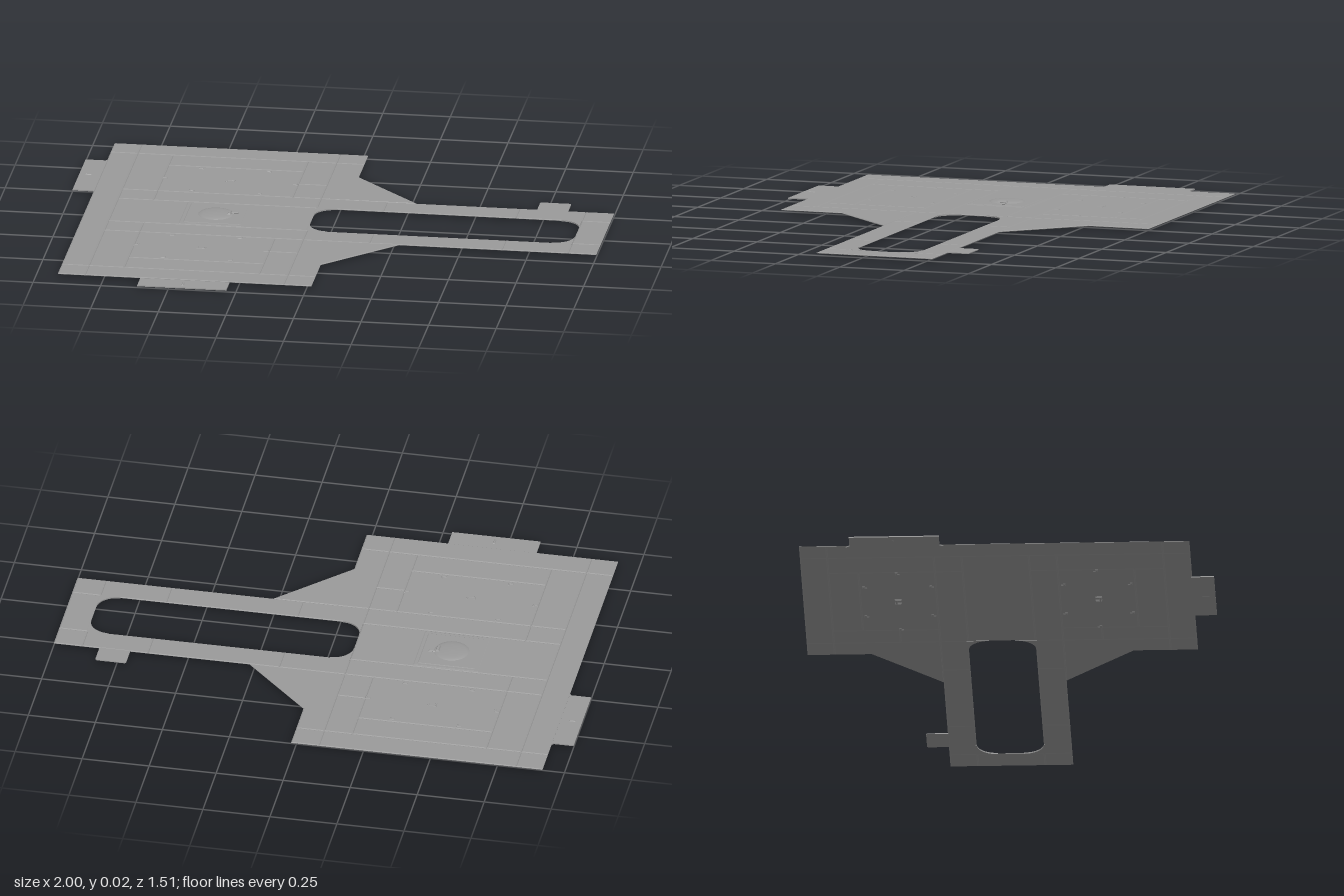
import * as THREE from 'three';

const TOP = 0.0115, BOTTOM = 0.0065, MID_Z = -0.045, BEVEL = 0.004;
const material = new THREE.MeshStandardMaterial({ color: 0x9a9a9a, side: THREE.DoubleSide });

// Mirrors a z coordinate across the lengthwise axis of the plate
const flip = (z) => 2 * MID_Z - z;

const toShape = (points) => new THREE.Shape(points.map(([x, z]) => new THREE.Vector2(x, z)));

// Flat slab: outline in x/z, between heights y0 and y1, with optional sloped edges
function slab(parent, name, shape, y0, y1, bevel = 0) {
  const slope = bevel ? (y1 - y0) * 0.48 : 0;
  const geometry = new THREE.ExtrudeGeometry(shape, {
    depth: y1 - y0 - 2 * slope, curveSegments: 8, bevelEnabled: bevel > 0,
    bevelSegments: 1, bevelThickness: slope, bevelSize: bevel, bevelOffset: -bevel,
  });
  geometry.rotateX(Math.PI / 2);
  const mesh = new THREE.Mesh(geometry, material);
  mesh.position.y = y1 - slope;
  mesh.name = name;
  parent.add(mesh);
  return mesh;
}

// Rectangular slab given by its centre and size
function plate(parent, name, x, z, w, d, y0, y1, bevel = 0) {
  const a = w / 2, b = d / 2;
  return slab(parent, name, toShape([[x - a, z - b], [x + a, z - b], [x + a, z + b], [x - a, z + b]]), y0, y1, bevel);
}

// Rectangular panel whose sloped edges form a groove with its neighbours
function panel(parent, name, x0, x1, z0, z1) {
  plate(parent, name, (x0 + x1) / 2, (z0 + z1) / 2, x1 - x0, Math.abs(z1 - z0), BOTTOM, TOP, BEVEL);
}

function roundedHole(x0, x1, z0, z1, r) {
  const p = new THREE.Path();
  p.moveTo(x0 + r, z0);
  p.lineTo(x1 - r, z0);
  p.absarc(x1 - r, z0 + r, r, -Math.PI / 2, 0);
  p.lineTo(x1, z1 - r);
  p.absarc(x1 - r, z1 - r, r, 0, Math.PI / 2);
  p.lineTo(x0 + r, z1);
  p.absarc(x0 + r, z1 - r, r, Math.PI / 2, Math.PI);
  p.lineTo(x0, z0 + r);
  p.absarc(x0 + r, z0 + r, r, Math.PI, Math.PI * 1.5);
  return p;
}

export function createModel() {
  const model = new THREE.Group();
  model.name = 'flatPlate';

  // Core sheet that shows at the bottom of the grooves
  const half = [[-0.92, -0.76], [0.018, -0.76], [0.018, -0.525], [0.27, -0.27], [1, -0.27]];
  const outline = toShape([...half, ...half.map(([x, z]) => [x, flip(z)]).reverse()]);
  outline.holes.push(roundedHole(-0.085, 0.895, -0.168, 0.078, 0.075));
  slab(model, 'coreSheet', outline, 0.0085, 0.0095);

  // Panels on one side of the axis, repeated on the other
  const sidePanels = [
    [-0.92, -0.82, -0.76, -0.66], [-0.82, -0.085, -0.76, -0.66], [-0.085, 0.018, -0.76, -0.66],
    [-0.82, -0.69, -0.66, -0.27], [-0.82, -0.69, -0.27, -0.168], [-0.69, -0.085, -0.27, -0.168],
    [-0.69, -0.19, -0.66, -0.55], [-0.69, -0.19, -0.55, -0.27],
    [-0.19, -0.085, -0.66, -0.415], [-0.19, -0.085, -0.415, -0.27],
    [-0.085, 0.16, -0.27, -0.168], [0.16, 0.65, -0.27, -0.168],
    [0.65, 0.895, -0.27, -0.168], [0.895, 1, -0.27, -0.168],
  ];
  const gusset = [[-0.085, -0.66], [0.018, -0.66], [0.018, -0.525], [0.27, -0.27], [-0.085, -0.27]];
  const clips = [[-0.565, -0.535], [-0.315, -0.535], [-0.68, -0.412], [-0.2, -0.412], [-0.565, -0.29], [-0.315, -0.29]];

  // Piece that rounds a corner of the long opening
  const r = 0.075;
  const fillet = new THREE.Shape();
  fillet.moveTo(0, -0.006);
  fillet.lineTo(r, -0.006);
  fillet.lineTo(r, 0);
  fillet.absarc(r, r, r, -Math.PI / 2, -Math.PI, true);

  for (const mirrored of [false, true]) {
    const side = new THREE.Group();
    side.name = mirrored ? 'frontSide' : 'backSide';
    const m = (z) => (mirrored ? flip(z) : z);
    for (const [x0, x1, z0, z1] of sidePanels) panel(side, 'panel', x0, x1, m(z0), m(z1));
    slab(side, 'gussetPanel', toShape(gusset.map(([x, z]) => [x, m(z)])), BOTTOM, TOP, BEVEL);

    for (const [x, sx] of [[-0.085, 1], [0.895, -1]]) {
      const corner = slab(side, 'openingFillet', fillet, BOTTOM, TOP);
      corner.position.x = x;
      corner.position.z = m(-0.168);
      corner.scale.set(sx, 1, mirrored ? -1 : 1);
    }

    // Small clips that pass through the large panel
    for (const [x, z] of clips) {
      plate(side, 'clip', x, m(z), 0.022, 0.012, 0.003, 0.0135, 0.003);
      plate(side, 'clipFoot', x + 0.006, m(z + 0.007), 0.01, 0.014, 0.003, 0.0135, 0.003);
    }
    for (const dx of [-0.014, 0.014]) plate(side, 'centreClip', -0.44 + dx, m(-0.412), 0.01, 0.026, 0, 0.0135, 0.003);
    plate(side, 'centreClipBar', -0.44, m(-0.418), 0.03, 0.01, 0, 0.0135, 0.003);
    model.add(side);
  }

  // Panels lying on the axis
  panel(model, 'edgePanel', -0.92, -0.82, -0.66, 0.57);
  panel(model, 'centrePanel', -0.82, -0.085, -0.168, 0.078);
  panel(model, 'armEndPanel', 0.895, 1, -0.168, 0.078);

  // Centre fitting: stepped square pad, low dome and latch
  const fitting = new THREE.Group();
  fitting.name = 'centreFitting';
  fitting.position.set(-0.44, 0, MID_Z);
  plate(fitting, 'outerPad', 0, 0, 0.245, 0.235, 0.0095, 0.0125, 0.004);
  plate(fitting, 'innerPad', 0, 0, 0.215, 0.205, 0.0105, 0.0137, 0.003);
  const profile = [[0.066, 0.0125], [0.062, 0.016], [0.05, 0.0185], [0.03, 0.0202], [0, 0.021]];
  const dome = new THREE.Mesh(
    new THREE.LatheGeometry(profile.map(([x, y]) => new THREE.Vector2(x, y)), 32), material);
  dome.name = 'dome';
  fitting.add(dome);
  plate(fitting, 'latch', 0.05, -0.002, 0.014, 0.036, 0.0125, 0.0235, 0.003);
  plate(fitting, 'latchArm', 0.065, -0.015, 0.035, 0.012, 0.0125, 0.018, 0.003);
  model.add(fitting);

  // Edge tabs, set slightly lower than the plate
  const rightTab = [[-0.915, -0.59], [-0.925, -0.575], [-1, -0.575], [-1, -0.245], [-0.925, -0.245], [-0.915, -0.23]];
  slab(model, 'rightTab', toShape(rightTab), 0.0045, 0.0085);
  plate(model, 'rightTabHook', -0.965, -0.415, 0.025, 0.01, 0.003, 0.0115, 0.003);
  plate(model, 'frontTab', -0.45, 0.7075, 0.33, 0.085, 0.0045, 0.0085);
  plate(model, 'frontTabHook', -0.45, 0.715, 0.01, 0.03, 0.003, 0.0115, 0.003);
  const armTab = [[0.715, -0.265], [0.715, -0.345], [0.72, -0.35], [0.825, -0.35], [0.83, -0.345], [0.83, -0.265]];
  slab(model, 'armTab', toShape(armTab), 0.0075, 0.0105);

  return model;
}
